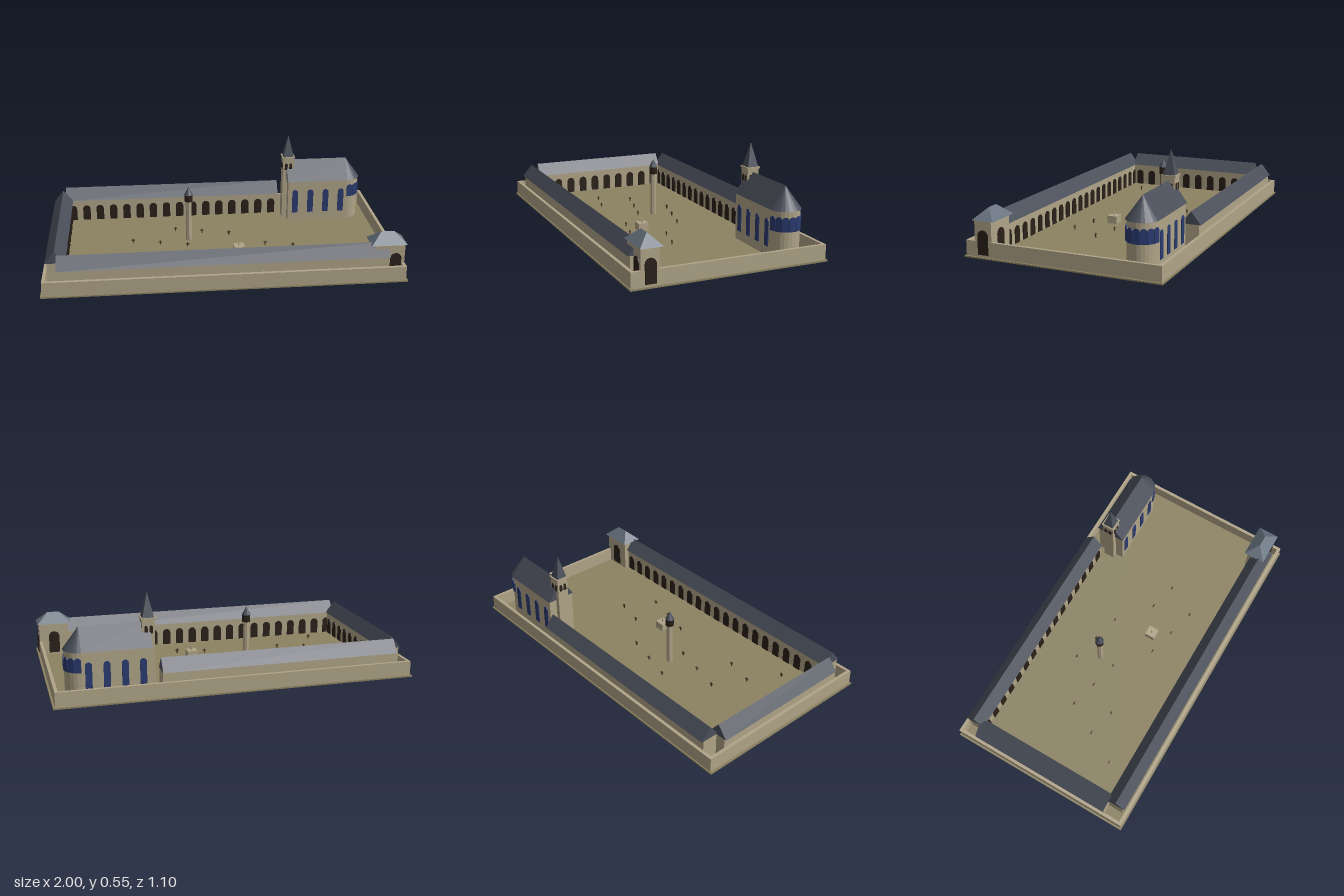
import * as THREE from 'three';

const mat = (color) => new THREE.MeshStandardMaterial({ color, flatShading: true, side: THREE.DoubleSide });

export function createModel() {
  const model = new THREE.Group();
  const stone = mat(0xb0a488), earth = mat(0x8c8262), slate = mat(0x4a4f5a), paleSlate = mat(0x687380);
  const dark = mat(0x2a2018), glass = mat(0x2a3a70), wood = mat(0x4a3a28);

  const add = (name, geometry, material, x = 0, y = 0, z = 0, turn = 0, parent = model) => {
    const mesh = new THREE.Mesh(geometry, material);
    mesh.name = name;
    mesh.position.set(x, y, z);
    mesh.rotation.y = turn;
    parent.add(mesh);
    return mesh;
  };
  // Box given by its ranges
  const block = (name, material, x0, x1, y0, y1, z0, z1, parent = model) =>
    add(name, new THREE.BoxGeometry(x1 - x0, y1 - y0, z1 - z0), material,
      (x0 + x1) / 2, (y0 + y1) / 2, (z0 + z1) / 2, 0, parent);
  // Triangular roof running along z, or along x when turned
  const gable = (name, width, height, length, x, y, z, turn, parent) => {
    const s = new THREE.Shape();
    s.moveTo(-width / 2, 0).lineTo(width / 2, 0).lineTo(0, height).closePath();
    const g = new THREE.ExtrudeGeometry(s, { depth: length, bevelEnabled: false });
    g.translate(0, 0, -length / 2);
    return add(name, g, slate, x, y, z, turn, parent);
  };
  // Thin round-headed panel facing +z before turning
  const arch = (name, material, w, h, x, y, z, turn, parent, depth = 0.008) => {
    const s = new THREE.Shape();
    s.moveTo(-w / 2, 0).lineTo(w / 2, 0).lineTo(w / 2, h - w / 2);
    s.absarc(0, h - w / 2, w / 2, 0, Math.PI, false);
    s.closePath();
    const g = new THREE.ExtrudeGeometry(s, { depth, bevelEnabled: false, curveSegments: 5 });
    g.translate(0, 0, -depth / 2);
    return add(name, g, material, x, y, z, turn, parent);
  };

  // Ground and perimeter wall
  block('groundSlab', earth, -1, 1, 0, 0.008, -0.55, 0.55);
  for (const s of [-1, 1]) {
    add('longWall', new THREE.BoxGeometry(1.975, 0.09, 0.018), stone, 0, 0.045, s * 0.534);
    add('shortWall', new THREE.BoxGeometry(0.018, 0.09, 1.086), stone, s * 0.98, 0.045, 0);
  }

  // Arcaded wings around the courtyard
  const wing = (name, cx, cz, length, turn, count) => {
    const g = new THREE.Group();
    g.name = name;
    g.position.set(cx, 0, cz);
    g.rotation.y = turn;
    add('wingWall', new THREE.BoxGeometry(length, 0.14, 0.09), stone, 0, 0.07, 0, 0, g);
    gable('wingRoof', 0.112, 0.07, length, 0, 0.14, 0, Math.PI / 2, g);
    for (let i = 0; i < count; i++)
      arch('archOpening', dark, 0.046, 0.1, ((i + 0.5) / count - 0.5) * length, 0.004, 0.045, 0, g);
    model.add(g);
  };
  wing('backWing', -0.243, -0.475, 1.334, 0, 16);
  wing('frontWing', -0.005, 0.465, 1.81, Math.PI, 22);
  wing('rightWing', -0.922, -0.005, 0.85, Math.PI / 2, 10);

  // Gatehouse with hipped roof
  block('gatehouseWalls', stone, 0.815, 0.987, 0, 0.2, 0.392, 0.491);
  const hip = new THREE.BoxGeometry(0.2, 0.06, 0.125);
  const p = hip.attributes.position;
  for (let i = 0; i < p.count; i++)
    if (p.getY(i) > 0) p.setXYZ(i, Math.sign(p.getX(i)) * 0.035, 0.03, 0);
  add('gatehouseRoof', hip.toNonIndexed(), paleSlate, 0.897, 0.23, 0.437);
  arch('outerGate', dark, 0.06, 0.13, 0.988, 0.02, 0.441, Math.PI / 2, model, 0.012);
  arch('frontGate', dark, 0.062, 0.13, 0.937, 0.02, 0.491, 0, model);
  arch('courtyardGate', dark, 0.062, 0.13, 0.9, 0.02, 0.392, 0, model);

  // Church: nave, rounded apse and windows
  const church = new THREE.Group();
  church.name = 'church';
  church.position.z = -0.381;
  model.add(church);
  block('naveWalls', stone, 0.47, 0.84, 0, 0.265, -0.081, 0.081, church);
  gable('naveRoof', 0.174, 0.12, 0.375, 0.6525, 0.265, 0, Math.PI / 2, church);
  add('apseWall', new THREE.CylinderGeometry(0.081, 0.081, 0.265, 12, 1, false, 0, Math.PI), stone, 0.84, 0.1325, 0, 0, church);
  add('apseRoof', new THREE.CylinderGeometry(0, 0.087, 0.12, 12, 1, false, 0, Math.PI), slate, 0.84, 0.325, 0, 0, church);
  for (const s of [-1, 1])
    for (let i = 0; i < 4; i++)
      arch('naveWindow', glass, 0.036, 0.15, 0.515 + i * 0.096, 0.06, s * 0.081, 0, church);
  for (let i = 0; i < 7; i++) {
    const a = (i + 0.5) / 7 * Math.PI;
    arch('apseWindow', glass, 0.036, 0.078, 0.84 + Math.sin(a) * 0.081, 0.157, Math.cos(a) * 0.081, a, church);
  }

  // Bell tower with paired openings and spire
  const tower = new THREE.Group();
  tower.name = 'bellTower';
  tower.position.set(0.475, 0, -0.381);
  model.add(tower);
  block('towerShaft', stone, -0.034, 0.034, 0, 0.405, -0.034, 0.034, tower);
  block('towerCornice', stone, -0.039, 0.039, 0.403, 0.412, -0.039, 0.039, tower);
  for (let k = 0; k < 4; k++) {
    const a = k * Math.PI / 2;
    for (const o of [-0.014, 0.014])
      arch('bellOpening', dark, 0.018, 0.042, Math.sin(a) * 0.034 + Math.cos(a) * o, 0.328,
        Math.cos(a) * 0.034 - Math.sin(a) * o, a, tower, 0.004);
  }
  const spire = new THREE.ConeGeometry(0.045, 0.135, 4);
  spire.rotateY(Math.PI / 4);
  add('spire', spire, slate, 0, 0.4785, 0, 0, tower);

  // Lantern column in the courtyard
  const lantern = new THREE.Group();
  lantern.name = 'lanternColumn';
  lantern.position.set(-0.165, 0, -0.08);
  model.add(lantern);
  add('columnShaft', new THREE.CylinderGeometry(0.017, 0.018, 0.262, 8), stone, 0, 0.131, 0, 0, lantern);
  add('lanternHead', new THREE.CylinderGeometry(0.024, 0.024, 0.042, 8), dark, 0, 0.281, 0, 0, lantern);
  add('lanternCap', new THREE.ConeGeometry(0.026, 0.048, 8), slate, 0, 0.326, 0, 0, lantern);

  // Stone plinth with a small post
  block('plinth', stone, 0.085, 0.145, 0, 0.052, 0.085, 0.145);
  add('plinthPost', new THREE.CylinderGeometry(0.005, 0.005, 0.02, 6), stone, 0.115, 0.062, 0.115);

  // Grave markers scattered on the lawn
  const graves = [[-0.24, -0.205], [-0.08, -0.165], [0.08, -0.125], [-0.5, -0.065], [-0.34, -0.025],
    [-0.18, 0.015], [0.28, 0.035], [0.44, 0.075], [-0.6, 0.115], [-0.44, 0.155], [0.02, 0.175],
    [0.18, 0.215], [0.34, 0.255], [-0.7, 0.295]];
  for (const [x, z] of graves) {
    add('gravePost', new THREE.BoxGeometry(0.006, 0.034, 0.005), wood, x, 0.017, z);
    add('graveBar', new THREE.BoxGeometry(0.02, 0.006, 0.005), wood, x, 0.025, z);
  }
  return model;
}
